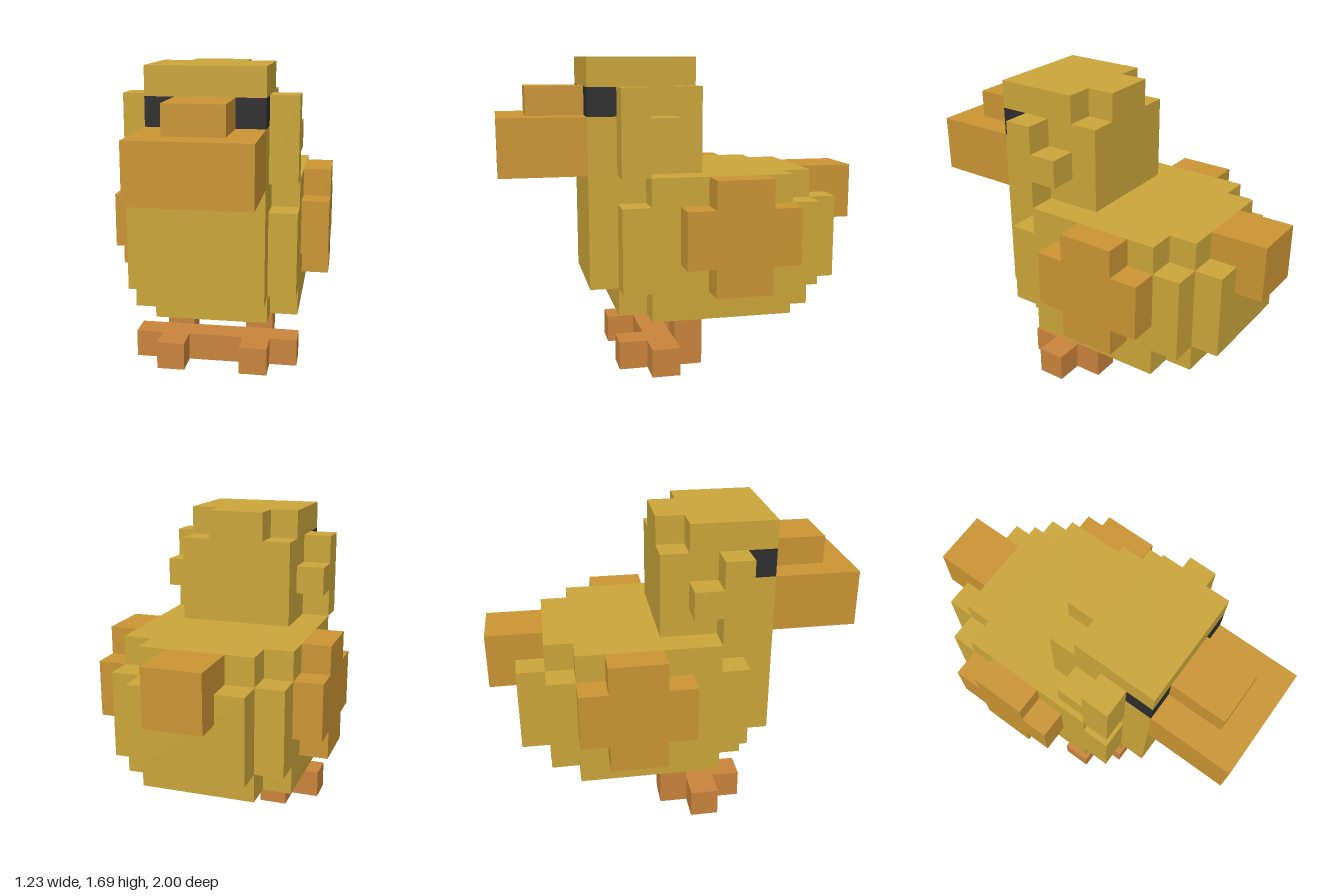
import * as THREE from 'three';

const U = 2 / 13; // one block

const mat = (name, color) => {
  const m = new THREE.MeshStandardMaterial({ color });
  m.name = name;
  return m;
};

export function createModel() {
  const model = new THREE.Group();
  model.name = 'blockDuck';

  const yellow = mat('featherYellow', 0xcaa53a);
  const orange = mat('beakOrange', 0xca9434);
  const rust = mat('footOrange', 0xc9833b);
  const black = mat('eyeBlack', 0x2d2d2d);

  const part = (name, parent = model) => {
    const g = new THREE.Group();
    g.name = name;
    parent.add(g);
    return g;
  };

  // Box between block coordinates; z counts 0 (tail tip) to 13 (beak tip)
  const block = (group, name, material, [x0, x1], [y0, y1], [z0, z1]) => {
    const geo = new THREE.BoxGeometry((x1 - x0) * U, (y1 - y0) * U, (z1 - z0) * U);
    const mesh = new THREE.Mesh(geo, material);
    mesh.name = name;
    mesh.position.set(((x0 + x1) / 2) * U, ((y0 + y1) / 2) * U, ((z0 + z1) / 2 - 6.5) * U);
    group.add(mesh);
  };

  // Body: wide core with stepped edges
  const body = part('body');
  block(body, 'bellyBase', yellow, [-3, 3], [2, 3], [3, 8]);
  block(body, 'bellyBaseEnds', yellow, [-2, 2], [2, 3], [2, 9]);
  block(body, 'bodyCore', yellow, [-3, 3], [3, 6], [2, 9]);
  block(body, 'chest', yellow, [-2, 2], [3, 7], [9, 10]);
  block(body, 'rump', yellow, [-2, 2], [3, 6], [1, 2]);
  block(body, 'back', yellow, [-3, 3], [6, 7], [3, 8]);
  block(body, 'backRear', yellow, [-2, 2], [6, 7], [2, 3]);
  block(body, 'collar', yellow, [-2, 2], [6, 7], [8, 9]);

  // Tail
  const tail = part('tail');
  block(tail, 'tailTip', orange, [-1, 1], [5, 7], [0, 1]);
  block(tail, 'tailRoot', orange, [-1, 1], [6, 7], [1, 2]);

  // Head, leaving corner gaps for the eyes
  const head = part('head');
  block(head, 'skull', yellow, [-2, 2], [7, 10], [6, 9]);
  block(head, 'faceLower', yellow, [-2, 2], [7, 9], [9, 10]);
  block(head, 'faceBetweenEyes', yellow, [-1, 1], [9, 10], [9, 10]);
  block(head, 'crown', yellow, [-2, 2], [10, 11], [7, 10]);
  block(head, 'crownBack', yellow, [-1, 1], [10, 11], [6, 7]);

  // Beak
  const beak = part('beak');
  block(beak, 'bill', orange, [-2, 2], [7, 9], [10, 13]);
  block(beak, 'billRidge', orange, [-1, 1], [9, 10], [10, 12]);

  // Paired parts
  for (const s of [1, -1]) {
    const side = s > 0 ? 'left' : 'right';
    const span = (a, b) => (s > 0 ? [a, b] : [-b, -a]);

    block(head, side + 'Eye', black, span(1, 2), [9, 10], [9, 10]);

    const cheek = part(side + 'Cheek', head);
    block(cheek, 'cheekFront', yellow, span(2, 3), [7, 10], [8, 9]);
    block(cheek, 'cheekBack', yellow, span(2, 3), [8, 9], [7, 8]);

    const wing = part(side + 'Wing');
    block(wing, 'wingMiddle', orange, span(3, 4), [3, 7], [4, 6]);
    block(wing, 'wingFront', orange, span(3, 4), [4, 6], [6, 7]);
    block(wing, 'wingRear', orange, span(3, 4), [4, 6], [3, 4]);

    const leg = part(side + 'Leg');
    block(leg, 'shin', rust, span(1, 2), [0, 2], [6, 7]);
    block(leg, 'footBar', rust, span(0, 3), [0, 1], [7, 8]);
    block(leg, 'toe', rust, span(1, 2), [0, 1], [8, 9]);
  }

  return model;
}
